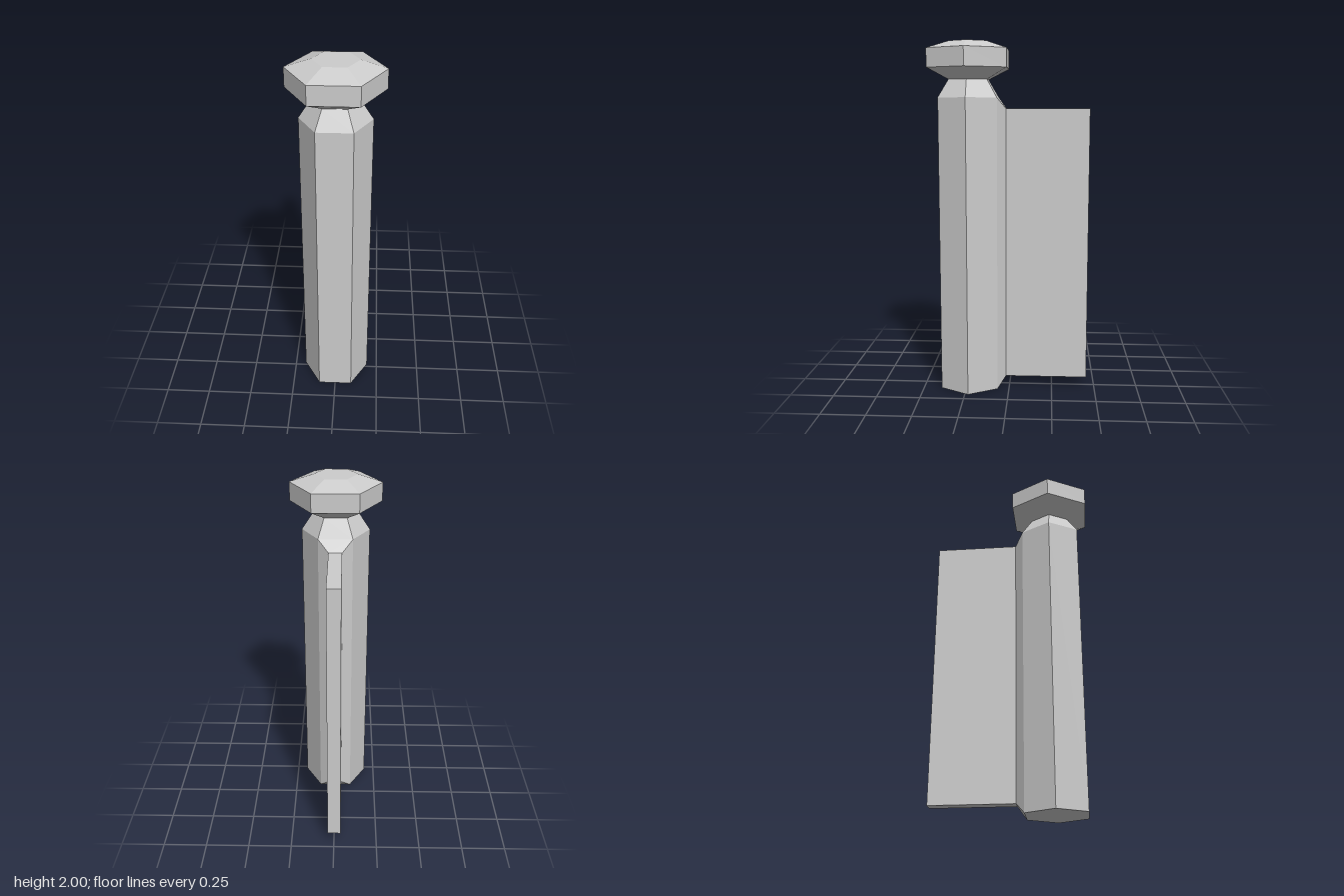
import * as THREE from 'three';

const material = new THREE.MeshStandardMaterial({ color: 0xcccccc, flatShading: true });
const AXIS_Z = 0.231;

// Six-sided turned part, with corners on +x and -x
function hexPart(name, profile) {
  const points = profile.map(([r, y]) => new THREE.Vector2(r, y));
  const mesh = new THREE.Mesh(new THREE.LatheGeometry(points, 6, Math.PI / 6), material);
  mesh.name = name;
  mesh.position.z = AXIS_Z;
  return mesh;
}

// Flat plate behind the post, flaring out to meet the post's full back face
function backPlate() {
  const sections = [
    { z: -0.452, halfWidth: 0.0375, bottom: 0.06, top: 1.63 },
    { z: 0.02, halfWidth: 0.0375, bottom: 0.06, top: 1.63 },
    { z: AXIS_Z - 0.19 * Math.cos(Math.PI / 6), halfWidth: 0.095, bottom: 0, top: 1.69 },
  ];
  const geometry = new THREE.BoxGeometry(2, 2, 2, 1, 1, 2);
  const p = geometry.attributes.position;
  for (let i = 0; i < p.count; i++) {
    const s = sections[Math.round(p.getZ(i)) + 1];
    p.setXYZ(i, p.getX(i) * s.halfWidth, p.getY(i) > 0 ? s.top : s.bottom, s.z);
  }
  geometry.computeVertexNormals();
  const mesh = new THREE.Mesh(geometry, material);
  mesh.name = 'backPlate';
  return mesh;
}

export function createModel() {
  const model = new THREE.Group();
  model.name = 'post';
  model.add(
    // Shaft with tapered shoulder
    hexPart('shaft', [[0, 0], [0.19, 0], [0.19, 1.69], [0.125, 1.79]]),
    // Bevelled cap, sharing the neck ring with the shaft
    hexPart('cap', [[0.125, 1.79], [0.255, 1.853], [0.255, 1.957], [0.12, 2], [0, 2]]),
    backPlate(),
  );
  return model;
}
